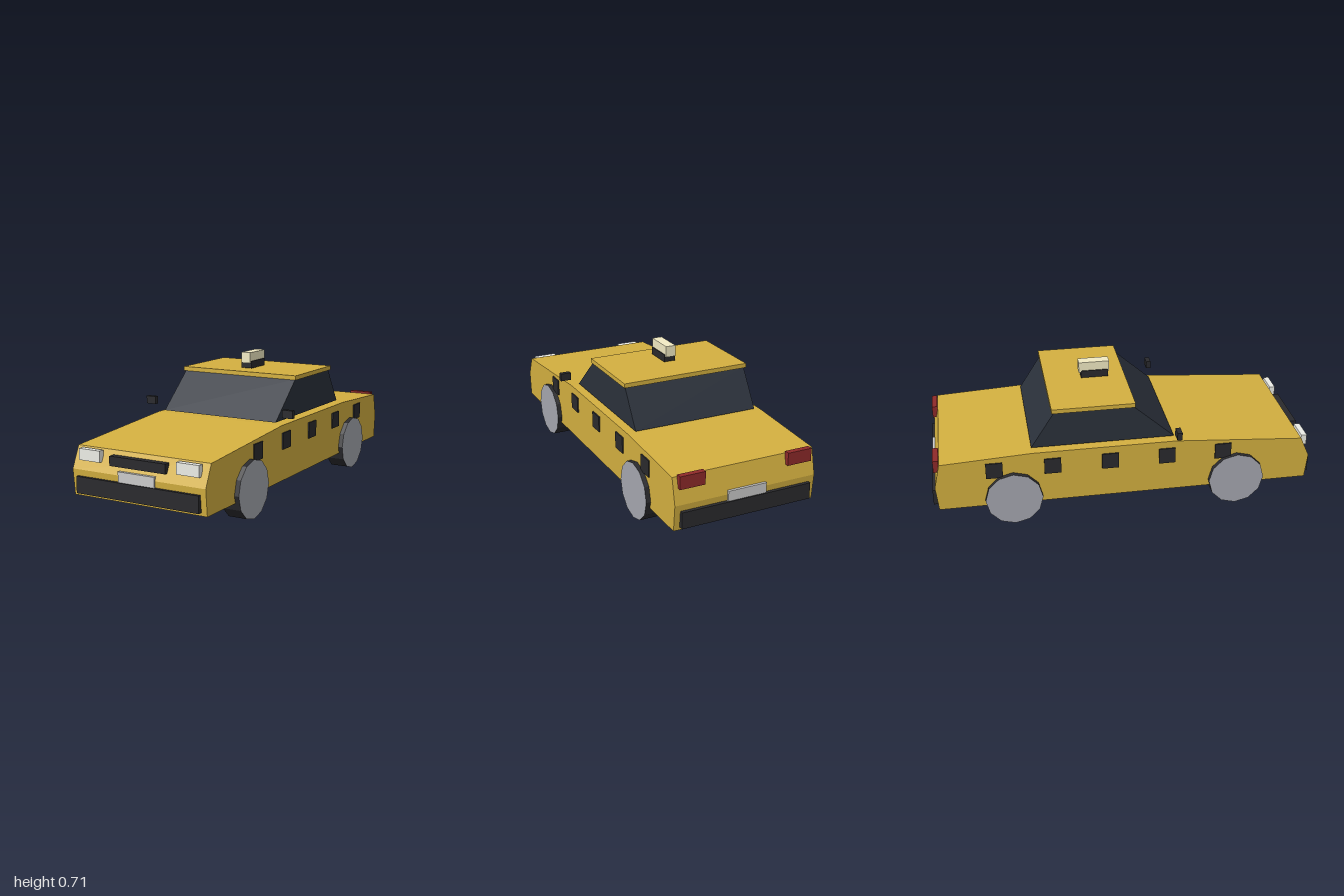
import * as THREE from 'three';

const mat = (color) => new THREE.MeshStandardMaterial({ color, flatShading: true });

export function createModel() {
  const car = new THREE.Group();
  const gold = mat(0xd4b040), glass = mat(0x2b313b), black = mat(0x2a2a2d);
  const rim = mat(0xa6a8b0), cream = mat(0xf2ebc4), lamp = mat(0xecede6);
  const plate = mat(0xcccccc), red = mat(0x8f2a2a);

  const add = (name, geometry, material) => {
    const mesh = new THREE.Mesh(geometry, material);
    mesh.name = name;
    car.add(mesh);
    return mesh;
  };
  // box given by its limits on each axis
  const box = (name, material, [x0, x1], [y0, y1], [z0, z1]) =>
    add(name, new THREE.BoxGeometry(x1 - x0, y1 - y0, z1 - z0), material)
      .position.set((x0 + x1) / 2, (y0 + y1) / 2, (z0 + z1) / 2);
  // the same box on both sides
  const pair = (name, material, [x0, x1], y, z) => {
    box(name + 'Left', material, [x0, x1], y, z);
    box(name + 'Right', material, [-x1, -x0], y, z);
  };
  // side profile of [z, y] points extruded across the width
  const profile = (name, material, points, halfWidth) => {
    const shape = new THREE.Shape(points.map(([z, y]) => new THREE.Vector2(-z, y)));
    const geo = new THREE.ExtrudeGeometry(shape, { depth: halfWidth * 2, bevelEnabled: false });
    geo.translate(0, 0, -halfWidth).rotateY(Math.PI / 2);
    add(name, geo, material);
  };

  // body, cabin and roof
  profile('body', gold, [
    [0.975, 0.11], [0.987, 0.242], [0.938, 0.35], [0.26, 0.4],
    [-0.49, 0.4], [-0.955, 0.375], [-0.985, 0.242], [-0.973, 0.11],
  ], 0.378);
  profile('cabinGlass', glass, [[0.255, 0.41], [0.04, 0.602], [-0.365, 0.602], [-0.487, 0.41]], 0.339);
  box('roof', gold, [-0.347, 0.347], [0.6, 0.623], [-0.378, 0.05]);

  // roof sign
  box('signBase', black, [-0.032, 0.032], [0.628, 0.667], [-0.185, -0.042]);
  box('signLight', cream, [-0.027, 0.027], [0.656, 0.714], [-0.196, -0.034]);

  // wheels: twelve-sided, dark tread with grey faces
  const wheelGeo = new THREE.CylinderGeometry(0.148, 0.148, 0.099, 12).rotateZ(Math.PI / 2);
  for (const [end, z] of [['front', 0.588], ['rear', -0.588]])
    for (const [side, x] of [['Left', 0.3525], ['Right', -0.3525]])
      add(end + 'Wheel' + side, wheelGeo, [black, rim, rim]).position.set(x, 0.148, z);

  // row of dark squares along each flank
  for (let i = 0; i < 5; i++) {
    const z = 0.512 - i * 0.2985;
    pair('sideCheck' + (i + 1), black, [0.37, 0.385], [0.275, 0.361], [z - 0.043, z + 0.043]);
  }

  // door mirrors
  pair('mirror', black, [0.387, 0.444], [0.442, 0.483], [0.25, 0.276]);

  // front fittings
  pair('headlight', lamp, [0.217, 0.341], [0.288, 0.345], [0.952, 0.982]);
  box('grille', black, [-0.159, 0.159], [0.281, 0.329], [0.95, 0.984]);

  // rear lamps
  pair('tailLight', red, [0.222, 0.353], [0.32, 0.386], [-0.986, -0.957]);

  // bumper and number plate at each end
  for (const [end, s] of [['front', 1], ['rear', -1]]) {
    const span = (a, b) => (s > 0 ? [a, b] : [-b, -a]);
    box(end + 'Bumper', black, [-0.348, 0.348], [0.126, 0.21], span(0.96, 1));
    box(end + 'Plate', plate, [-0.103, 0.103], [0.205, 0.262], span(0.972, 0.994));
  }
  return car;
}
